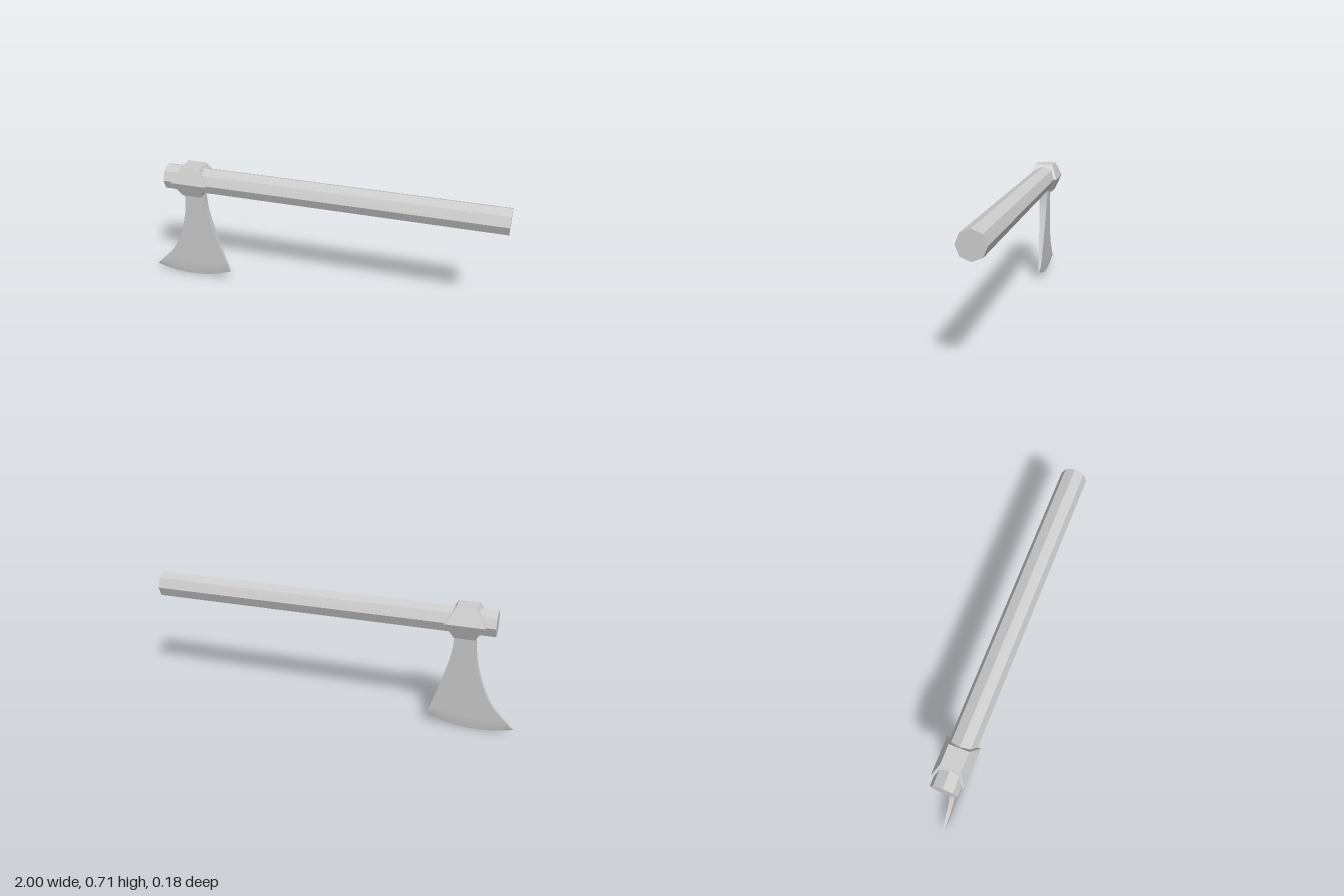
import * as THREE from 'three';
import { toCreasedNormals } from 'three/addons/utils/BufferGeometryUtils.js';
import { ConvexGeometry } from 'three/addons/geometries/ConvexGeometry.js';

const AXIS_Y = 0.625;

// Point at fraction t of a smooth curve through [x, y] pairs
const curveOf = (pts) => new THREE.CatmullRomCurve3(pts.map(([x, y]) => new THREE.Vector3(x, y, 0)));

// Blade: rings stacked downwards, flaring to a bevelled, curved cutting edge
function bladeGeometry() {
  const left = curveOf([[-0.765, 0.57], [-0.773, 0.444], [-0.81, 0.3], [-0.874, 0.166], [-0.985, 0.047]]);
  const right = curveOf([[-0.66, 0.57], [-0.65, 0.45], [-0.612, 0.3], [-0.575, 0.18], [-0.54, 0.083]]);
  const rows = 12, cols = 12, n = 2 * (cols + 1);
  const pos = [], index = [];

  for (let i = 0; i <= rows + 1; i++) {
    const edge = i === rows + 1;
    const t = Math.min(i / rows, 1);
    const a = edge ? new THREE.Vector3(-1, 0.033, 0) : left.getPoint(t);
    const b = edge ? new THREE.Vector3(-0.53, 0.056, 0) : right.getPoint(t);
    const sag = edge ? 0.042 : 0.018 * t * t;
    for (let k = 0; k < n; k++) {
      const front = k <= cols;
      const s = (front ? k : n - 1 - k) / cols;
      const x = a.x + (b.x - a.x) * s;
      const y = a.y + (b.y - a.y) * s - sag * 4 * s * (1 - s);
      const z = edge ? 0 : 0.007 + 0.018 * (y - 0.05) / 0.49;
      pos.push(x, y, front ? z : -z);
    }
  }
  for (let i = 0; i <= rows; i++) {
    for (let k = 0; k < n; k++) {
      const a = i * n + k, b = i * n + (k + 1) % n, c = a + n, d = b + n;
      index.push(a, c, b, b, c, d);
    }
  }
  const geo = new THREE.BufferGeometry();
  geo.setAttribute('position', new THREE.Float32BufferAttribute(pos, 3));
  geo.setIndex(index);
  return toCreasedNormals(geo, 0.4);
}

// Collar: two mirrored frusta joined at their wide middle
function collarGeometry() {
  const pts = [];
  for (const [y, hx, hz] of [[0.083, 0.053, 0.053], [0, 0.103, 0.088], [-0.083, 0.053, 0.053]]) {
    for (const sx of [-1, 1]) for (const sz of [-1, 1]) pts.push(new THREE.Vector3(sx * hx, y, sz * hz));
  }
  return new ConvexGeometry(pts);
}

export function createModel() {
  const group = new THREE.Group();
  group.name = 'axe';
  const flat = new THREE.MeshStandardMaterial({ color: 0xcccccc, flatShading: true });
  const smooth = new THREE.MeshStandardMaterial({ color: 0xcccccc });

  const add = (name, geo, mat, x = 0, y = 0) => {
    const mesh = new THREE.Mesh(geo, mat);
    mesh.name = name;
    mesh.position.set(x, y, 0);
    group.add(mesh);
  };

  // Octagonal shaft lying along x
  add('handle', new THREE.CylinderGeometry(0.072, 0.072, 1.865, 8).rotateZ(Math.PI / 2), flat, 0.0675, AXIS_Y);
  add('collar', collarGeometry(), flat, -0.712, AXIS_Y);
  add('blade', bladeGeometry(), smooth);
  return group;
}
